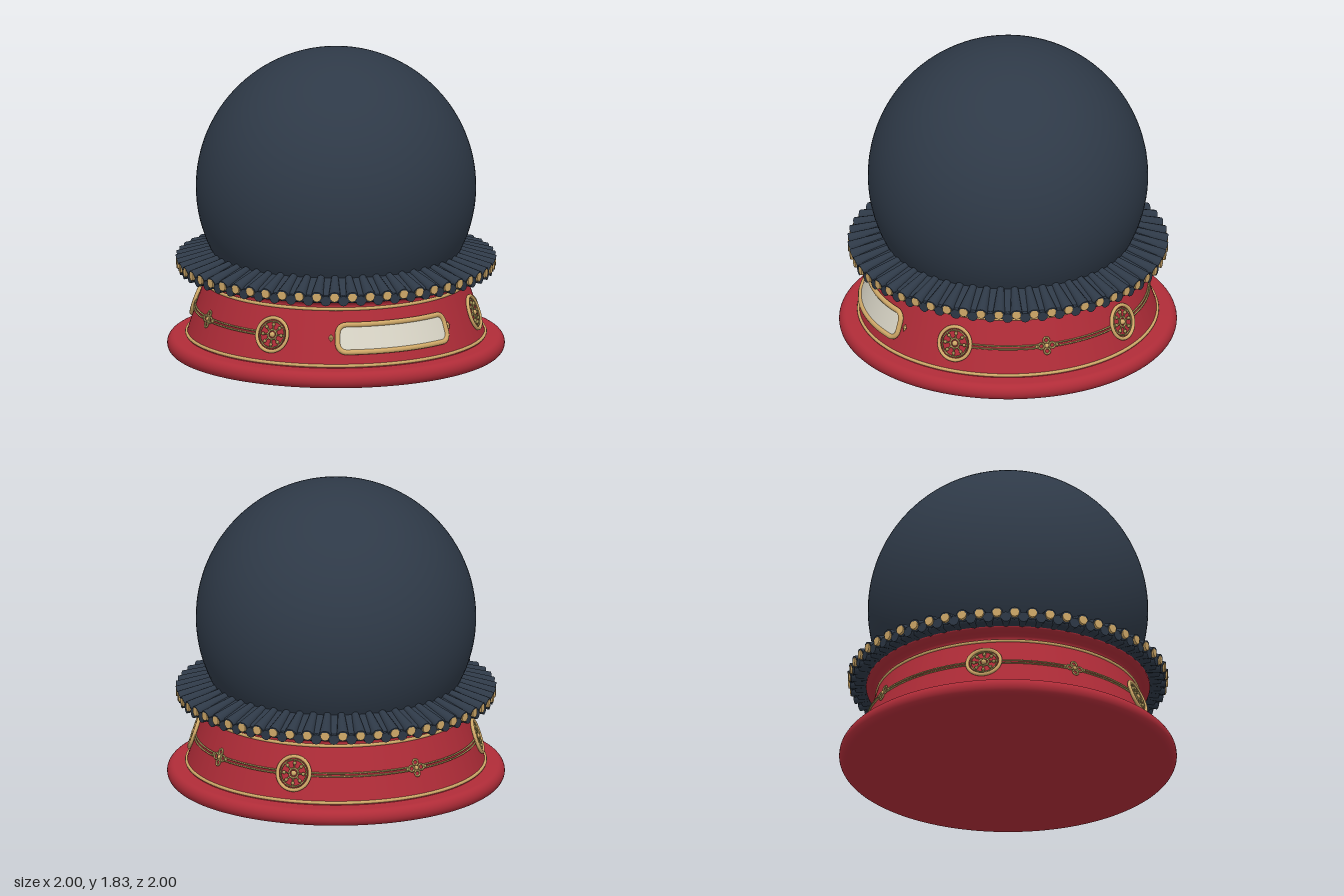
import * as THREE from 'three';
import { mergeGeometries } from 'three/addons/utils/BufferGeometryUtils.js';

const mat = (name, color) => {
  const m = new THREE.MeshStandardMaterial({ color });
  m.name = name;
  return m;
};

const TILT = Math.atan(0.105 / 0.31);
const MID = 0.274;
const rad = THREE.MathUtils.degToRad;

// Point on the sloping wall at angle a from the front, lifted outward by d
function onWall(a, y, d = 0) {
  const r = 0.886 - (y - 0.115) * Math.tan(TILT) + d * Math.cos(TILT);
  return new THREE.Vector3(r * Math.sin(a), y + d * Math.sin(TILT), r * Math.cos(a));
}

export function createModel() {
  const model = new THREE.Group();
  const navy = mat('navy', 0x2e3947);
  const red = mat('red', 0xb02c38);
  const gold = mat('gold', 0xd0a968);
  const oldGold = mat('antique gold', 0xa8965a);
  const cream = mat('cream', 0xdcd8c9);

  const add = (name, geometry, material, parent = model) => {
    const mesh = new THREE.Mesh(geometry, material);
    mesh.name = name;
    parent.add(mesh);
    return mesh;
  };
  const lathe = (name, pts, material) =>
    add(name, new THREE.LatheGeometry(pts.map(([x, y]) => new THREE.Vector2(x, y)), 128), material);

  // Globe
  add('globe', new THREE.SphereGeometry(0.83, 96, 64).translate(0, 1, 0), navy);

  // Base: underside, rounded foot, sloping wall and flared neck
  lathe('underside', [[0, 0], [0.955, 0]], red);
  const foot = [];
  for (let i = 0; i <= 14; i++) {
    const t = -Math.PI / 2 + (i / 14) * Math.PI;
    foot.push([0.955 + 0.045 * Math.cos(t), 0.05 + 0.05 * Math.sin(t)]);
  }
  lathe('foot', [...foot, [0.88, 0.104]], red);
  lathe('wall', [[0.888, 0.1], [0.777, 0.437]], red);
  lathe('neck', [[0.777, 0.437], [0.765, 0.45], [0.775, 0.468], [0.8, 0.482], [0.84, 0.495], [0.84, 0.51]], red);

  // Gold trim rings at the wall's foot and top
  for (const [name, r, y] of [['lowerTrim', 0.884, 0.117], ['upperTrim', 0.777, 0.437]]) {
    add(name, new THREE.TorusGeometry(r, 0.01, 8, 128).rotateX(Math.PI / 2).translate(0, y, 0), gold);
  }

  // Pleated collar: solid core, upper and lower flutes, gold end caps
  lathe('collarCore', [[0.76, 0.505], [0.905, 0.505], [0.918, 0.53], [0.905, 0.56], [0.72, 0.622]], navy);
  const flute = (a, r0, y0, r1, y1, s0, s1, sides) => {
    const g = new THREE.CylinderGeometry(s1, s0, Math.hypot(r1 - r0, y1 - y0), sides);
    g.rotateX(Math.PI / 2 + Math.atan2(y0 - y1, r1 - r0));
    g.translate(0, (y0 + y1) / 2, (r0 + r1) / 2);
    return g.rotateY(a);
  };
  const PLEATS = 56;
  const upper = [], lower = [], caps = [];
  for (let i = 0; i < PLEATS; i++) {
    const a = (i / PLEATS) * Math.PI * 2;
    upper.push(flute(a, 0.72, 0.622, 0.938, 0.545, 0.02, 0.038, 12));
    lower.push(flute(a + Math.PI / PLEATS, 0.76, 0.53, 0.935, 0.523, 0.022, 0.031, 12));
    caps.push(flute(a, 0.92, 0.547, 0.947, 0.547, 0.029, 0.027, 10));
  }
  add('upperPleats', mergeGeometries(upper), navy);
  add('lowerPleats', mergeGeometries(lower), navy);
  add('pleatCaps', mergeGeometries(caps), gold);

  // Name plate: cream panel wrapped round the wall, with rounded ends
  const panel = new THREE.PlaneGeometry(0.71, 0.156, 36, 4);
  const pos = panel.attributes.position;
  for (let i = 0; i < pos.count; i++) {
    const over = Math.max(0, Math.abs(pos.getX(i)) - 0.31);
    const half = 0.028 + Math.sqrt(Math.max(0, 0.05 ** 2 - over ** 2));
    const p = onWall(pos.getX(i) / 0.84, 0.27 + pos.getY(i) * (half / 0.078), 0.014);
    pos.setXYZ(i, p.x, p.y, p.z);
  }
  panel.computeVertexNormals();
  add('platePanel', panel, cream);

  // Plate frame: a rounded rectangle tube that follows the wall
  const outline = new THREE.Shape();
  outline.moveTo(-0.31, -0.078).lineTo(0.31, -0.078);
  outline.absarc(0.31, -0.028, 0.05, -Math.PI / 2, 0);
  outline.absarc(0.31, 0.028, 0.05, 0, Math.PI / 2);
  outline.absarc(-0.31, 0.028, 0.05, Math.PI / 2, Math.PI);
  outline.absarc(-0.31, -0.028, 0.05, Math.PI, Math.PI * 1.5);
  const framePts = outline.getSpacedPoints(90).slice(0, -1).map((p) => onWall(p.x / 0.84, 0.27 + p.y, 0.014));
  add('plateFrame', new THREE.TubeGeometry(new THREE.CatmullRomCurve3(framePts, true), 180, 0.016, 8, true), gold);

  // A group set flat against the wall
  const mount = (name, a, d) => {
    const g = new THREE.Group();
    g.name = name;
    g.position.copy(onWall(a, MID, d));
    g.rotation.set(-TILT, a, 0, 'YXZ');
    model.add(g);
    return g;
  };

  // Pointed studs beside the plate
  for (const s of [-1, 1]) {
    const stud = add('plateStud', new THREE.OctahedronGeometry(1), gold, mount('plateStudMount', s * 0.475, 0.006));
    stud.scale.set(0.016, 0.024, 0.012);
  }

  // Spoked medallions
  for (const deg of [52, 128, -128, -52]) {
    const g = mount('medallion', rad(deg), 0.007);
    add('medallionRim', new THREE.TorusGeometry(0.1, 0.011, 8, 40), gold, g);
    add('medallionInnerRing', new THREE.TorusGeometry(0.08, 0.005, 6, 36), oldGold, g);
    add('medallionHubRing', new THREE.TorusGeometry(0.028, 0.006, 6, 20), oldGold, g);
    add('medallionHub', new THREE.SphereGeometry(0.017, 12, 8), gold, g);
    const spokes = [], beads = [];
    for (let i = 0; i < 8; i++) {
      const a = (i / 8) * Math.PI * 2;
      spokes.push(new THREE.CylinderGeometry(0.005, 0.005, 0.055, 6).translate(0, 0.054, 0).rotateZ(a));
      beads.push(new THREE.SphereGeometry(0.011, 8, 6).translate(0, 0.06, 0).rotateZ(a));
    }
    add('medallionSpokes', mergeGeometries(spokes), oldGold, g);
    add('medallionBeads', mergeGeometries(beads), oldGold, g);
  }

  // Four-ring knots at the sides and back
  for (const deg of [90, 180, 270]) {
    const g = mount('knot', rad(deg), 0.006);
    const rings = [];
    for (let i = 0; i < 4; i++) {
      rings.push(new THREE.TorusGeometry(0.017, 0.006, 6, 18).translate(0.033, 0, 0).rotateZ((i * Math.PI) / 2));
    }
    add('knotRings', mergeGeometries(rings), oldGold, g);
    add('knotCentre', new THREE.SphereGeometry(0.014, 10, 8), gold, g);
    for (const s of [-1, 1]) {
      add('knotTip', new THREE.SphereGeometry(0.009, 8, 6).translate(s * 0.063, 0, 0), oldGold, g);
    }
  }

  // Double cords joining medallions and knots
  for (const [from, to] of [[59, 86.5], [93.5, 121], [135, 176.5]]) {
    for (const s of [-1, 1]) {
      for (const dy of [-0.009, 0.009]) {
        const pts = [];
        for (let i = 0; i <= 12; i++) {
          pts.push(onWall(s * rad(from + ((to - from) * i) / 12), MID + dy, 0.004));
        }
        add('cord', new THREE.TubeGeometry(new THREE.CatmullRomCurve3(pts), 24, 0.0055, 6), oldGold);
      }
    }
  }

  return model;
}
